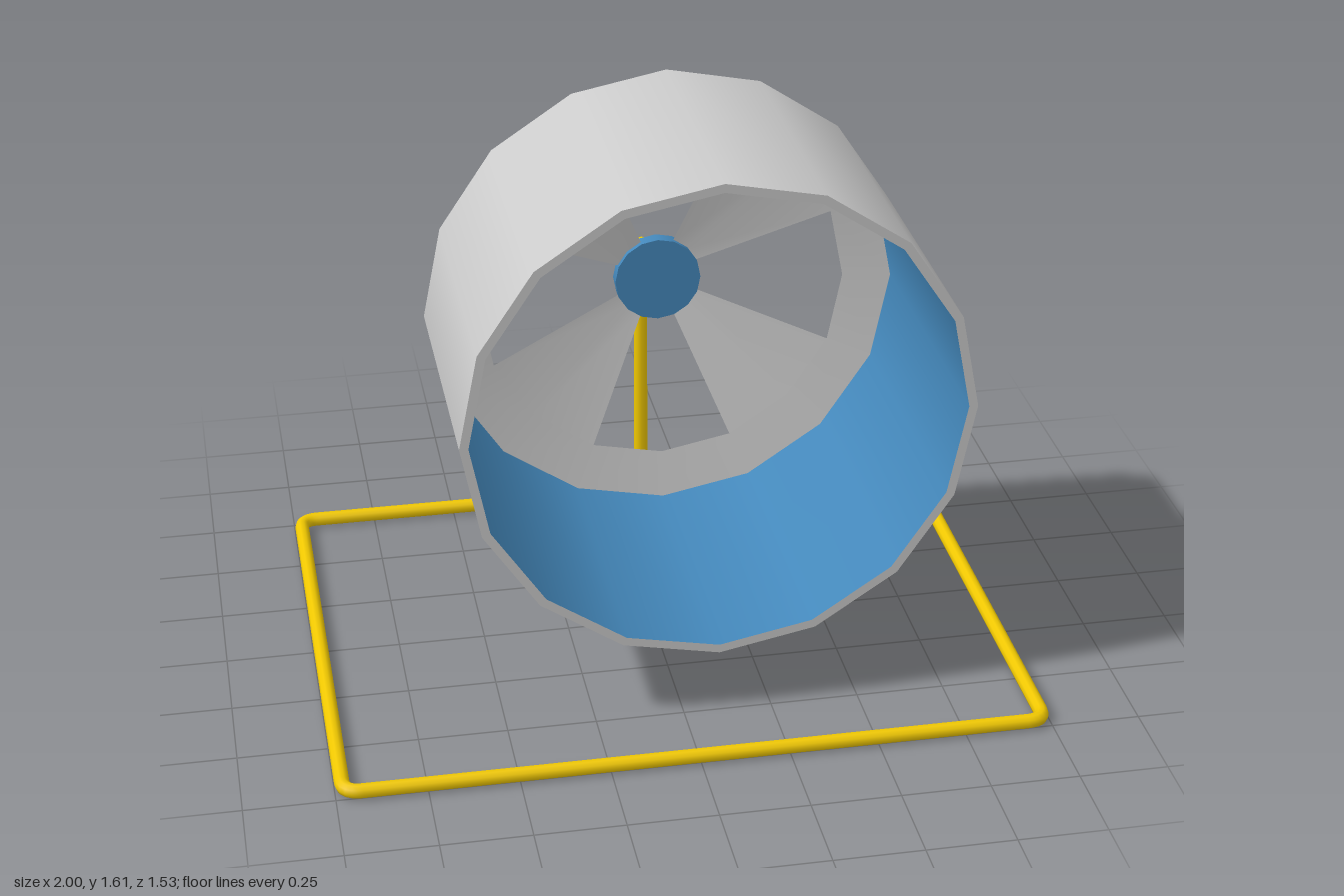
import * as THREE from 'three';

const SIDES = 16;
const AXLE_X = 0.1, AXLE_Y = 0.9;
const WIRE_R = 0.021;

const grey = new THREE.MeshStandardMaterial({ color: 0xcccccc });
const greyThin = new THREE.MeshStandardMaterial({ color: 0xcccccc, side: THREE.DoubleSide });
const blue = new THREE.MeshStandardMaterial({ color: 0x4488bb });
const yellow = new THREE.MeshStandardMaterial({ color: 0xf0c800 });

function addMesh(parent, name, geometry, material) {
  const mesh = new THREE.Mesh(geometry, material);
  mesh.name = name;
  parent.add(mesh);
  return mesh;
}

// Turn a profile of [radius, z] pairs about the z axis
function turned(profile, segments = SIDES, start = 0, length = Math.PI * 2) {
  const points = profile.map(([r, z]) => new THREE.Vector2(r, z));
  return new THREE.LatheGeometry(points, segments, start, length).rotateX(Math.PI / 2);
}

// Polyline with its inner corners rounded
function roundedPath(points, radius) {
  const path = new THREE.CurvePath();
  let from = points[0];
  for (let i = 1; i < points.length - 1; i++) {
    const corner = points[i];
    const towards = (p) => corner.clone().add(p.clone().sub(corner).setLength(radius));
    const a = towards(points[i - 1]), b = towards(points[i + 1]);
    path.add(new THREE.LineCurve3(from, a));
    path.add(new THREE.QuadraticBezierCurve3(a, corner, b));
    from = b;
  }
  path.add(new THREE.LineCurve3(from, points[points.length - 1]));
  return path;
}

function createWheel() {
  const wheel = new THREE.Group();
  wheel.name = 'wheel';
  wheel.position.set(AXLE_X, AXLE_Y, 0);

  // Drum: separate bands keep the edges between them sharp
  addMesh(wheel, 'drumOuterWall', turned([[0.71, -0.325], [0.71, 0.5]]), grey);
  addMesh(wheel, 'drumFrontRim', turned([[0.71, 0.5], [0.685, 0.5]]), grey);
  addMesh(wheel, 'drumInnerWall', turned([[0.685, 0.5], [0.685, -0.36]]), blue);
  addMesh(wheel, 'drumBackBevel', turned([[0.685, -0.36], [0.71, -0.325]]), blue);

  // Shallow conical back with four openings
  addMesh(wheel, 'backRing', turned([[0.545, -0.385], [0.685, -0.36]]), greyThin);
  for (let i = 0; i < 4; i++) {
    const start = Math.PI / 8 + i * Math.PI / 2;
    addMesh(wheel, 'spoke', turned([[0.12, -0.466], [0.545, -0.385]], 2, start, Math.PI / 4), greyThin);
  }

  // Hub disc
  const hub = new THREE.CylinderGeometry(0.128, 0.128, 0.042, SIDES).rotateX(Math.PI / 2);
  addMesh(wheel, 'hub', hub, blue).position.z = -0.469;
  return wheel;
}

function createStand() {
  const stand = new THREE.Group();
  stand.name = 'stand';

  // One bent wire: axle, post, then around the base frame
  const x = 0.979, z = 0.745, y = WIRE_R + 0.001;
  const points = [
    [AXLE_X, AXLE_Y, -0.47], [AXLE_X, AXLE_Y, -z], [AXLE_X, y, -z],
    [x, y, -z], [x, y, z], [-x, y, z], [-x, y, -z], [AXLE_X + 0.01, y, -z],
  ].map((p) => new THREE.Vector3(...p));
  addMesh(stand, 'wireFrame', new THREE.TubeGeometry(roundedPath(points, 0.05), 600, WIRE_R, 10), yellow);

  // Closed end of the wire
  const end = new THREE.CircleGeometry(WIRE_R, 10).rotateY(Math.PI / 2);
  addMesh(stand, 'wireEnd', end, yellow).position.copy(points[points.length - 1]);
  return stand;
}

export function createModel() {
  const model = new THREE.Group();
  model.name = 'exerciseWheel';
  model.add(createWheel(), createStand());
  return model;
}
